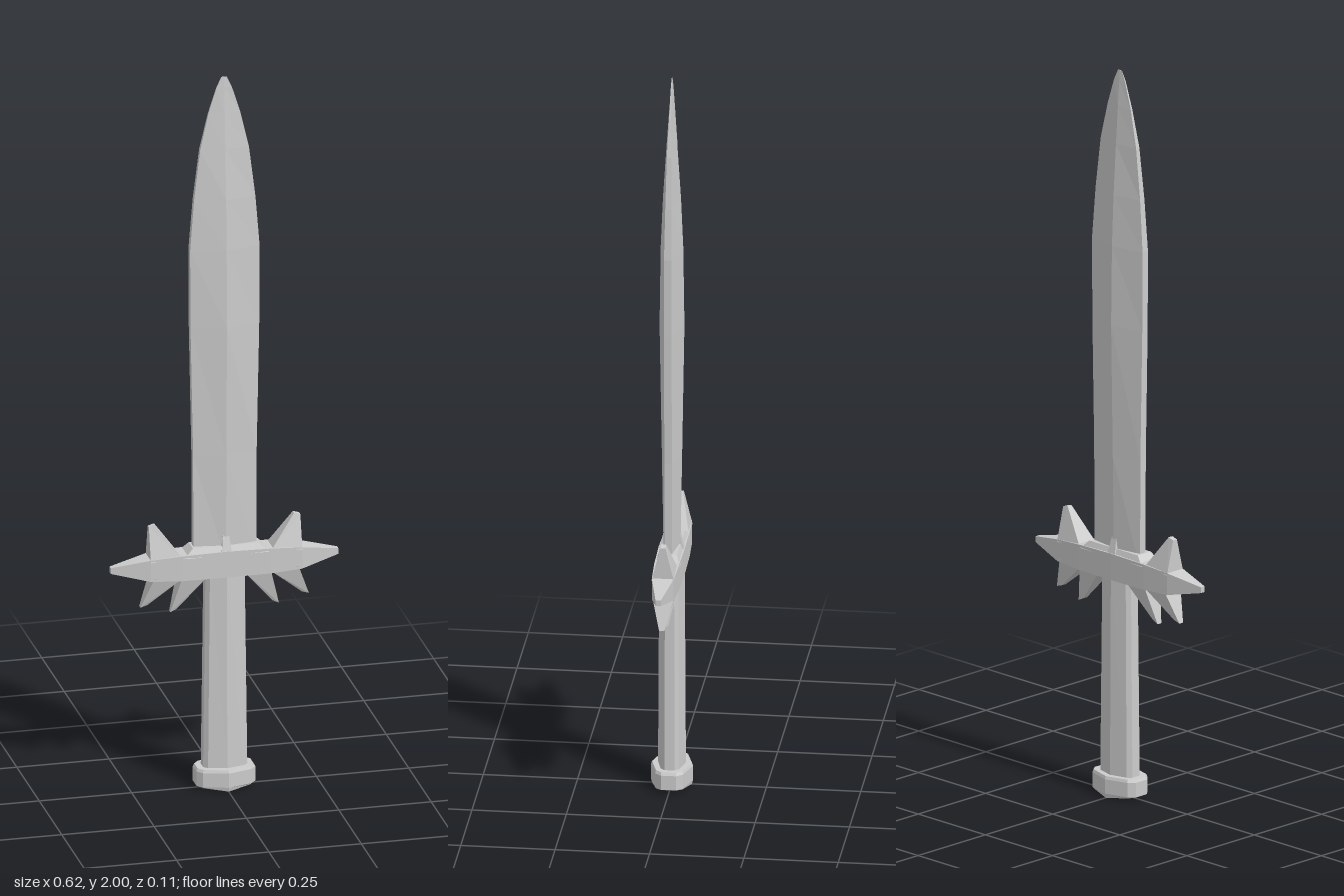
import * as THREE from 'three';

const material = new THREE.MeshStandardMaterial({ color: 0xcccccc, flatShading: true });

// Skin a list of rings (equal point counts) with flat caps; winding is fixed by signed volume.
function loft(name, rings) {
  const tris = [];
  const n = rings[0].length;
  for (let r = 0; r < rings.length - 1; r++) {
    for (let i = 0; i < n; i++) {
      const j = (i + 1) % n, a = rings[r], b = rings[r + 1];
      tris.push([a[i], a[j], b[j]], [a[i], b[j], b[i]]);
    }
  }
  const first = rings[0], last = rings[rings.length - 1];
  for (let i = 1; i < n - 1; i++) {
    tris.push([first[0], first[i + 1], first[i]], [last[0], last[i], last[i + 1]]);
  }
  let volume = 0;
  const u = new THREE.Vector3();
  for (const [a, b, c] of tris) volume += u.crossVectors(b, c).dot(a);
  const points = tris.flatMap(([a, b, c]) => (volume < 0 ? [a, c, b] : [a, b, c]));
  const geometry = new THREE.BufferGeometry().setFromPoints(points);
  geometry.computeVertexNormals();
  const mesh = new THREE.Mesh(geometry, material);
  mesh.name = name;
  return mesh;
}

const V = (x, y, z) => new THREE.Vector3(x, y, z);

// Blade section: ridge front and back, narrow flat edges
const bladeRing = (y, w, ridge, edge) => [
  V(w, y, edge), V(0, y, ridge), V(-w, y, edge),
  V(-w, y, -edge), V(0, y, -ridge), V(w, y, -edge),
];

// Eight-sided section shared by grip and pommel
const gripRing = (y, w, d, dip = 0) =>
  [[1, 0.36], [0.82, 0.66], [0, 1], [-0.82, 0.66], [-1, 0.36],
    [-1, -0.36], [-0.82, -0.66], [0, -1], [0.82, -0.66], [1, -0.36]]
    .map(([x, z]) => V(x * w, y + dip * Math.abs(x), z * d));

// Rectangle given by two corners in the xy plane and a half depth
const barRing = (x0, y0, x1, y1, d) =>
  [V(x0, y0, d), V(x1, y1, d), V(x1, y1, -d), V(x0, y0, -d)];

export function createModel() {
  const sword = new THREE.Group();
  sword.name = 'sword';

  // Blade: y, half width, ridge half depth, edge half depth
  const bladeProfile = [
    [0.64, 0.085, 0.022, 0.01], [0.94, 0.086, 0.027, 0.01],
    [1.3, 0.093, 0.033, 0.01], [1.52, 0.094, 0.03, 0.01],
    [1.66, 0.083, 0.024, 0.008], [1.8, 0.066, 0.015, 0.006],
    [1.9, 0.043, 0.008, 0.003], [1.97, 0.021, 0.003, 0.0015], [2, 0.007, 0.0008, 0.0005],
  ];
  sword.add(loft('blade', bladeProfile.map((p) => bladeRing(...p))));

  // Grip and pommel
  sword.add(loft('grip', [gripRing(0.04, 0.06, 0.037), gripRing(0.62, 0.053, 0.034)]));
  sword.add(loft('pommel', [
    gripRing(0, 0.077, 0.053, 0.01), gripRing(0.012, 0.08, 0.056),
    gripRing(0.052, 0.08, 0.056), gripRing(0.06, 0.076, 0.053),
  ]));

  // Crossguard with tapered ends
  const guardProfile = [
    [-0.308, 0.626, 0.642, 0.007], [-0.205, 0.602, 0.662, 0.029],
    [-0.12, 0.598, 0.668, 0.033], [0, 0.598, 0.671, 0.035], [0.12, 0.598, 0.668, 0.033],
    [0.205, 0.602, 0.662, 0.029], [0.308, 0.626, 0.642, 0.007],
  ];
  sword.add(loft('crossguard', guardProfile.map(([x, y0, y1, d]) => barRing(x, y0, x, y1, d))));

  // Collar and small centre spike where the blade meets the guard
  sword.add(loft('collar', [barRing(-0.115, 0.66, 0.115, 0.66, 0.034),
    barRing(-0.09, 0.684, 0.09, 0.684, 0.024)]));
  sword.add(loft('centreSpike', [barRing(-0.014, 0.665, 0.014, 0.665, 0.034),
    barRing(-0.003, 0.76, 0.003, 0.76, 0.01)]));

  // Spikes on both arms: base and tip corners with half depths
  const spikes = [
    ['upperSpike', [0.12, 0.66, 0.205, 0.655, 0.03], [0.188, 0.753, 0.205, 0.748, 0.007]],
    ['outerLowerSpike', [0.118, 0.605, 0.195, 0.61, 0.03], [0.209, 0.529, 0.228, 0.523, 0.007]],
    ['innerLowerSpike', [0.05, 0.605, 0.12, 0.605, 0.03], [0.13, 0.511, 0.147, 0.503, 0.007]],
  ];
  for (const side of [1, -1]) {
    for (const [name, ...ends] of spikes) {
      const rings = ends.map(([x0, y0, x1, y1, d]) => barRing(side * x0, y0, side * x1, y1, d));
      sword.add(loft(name + (side > 0 ? 'Left' : 'Right'), rings));
    }
  }
  return sword;
}
